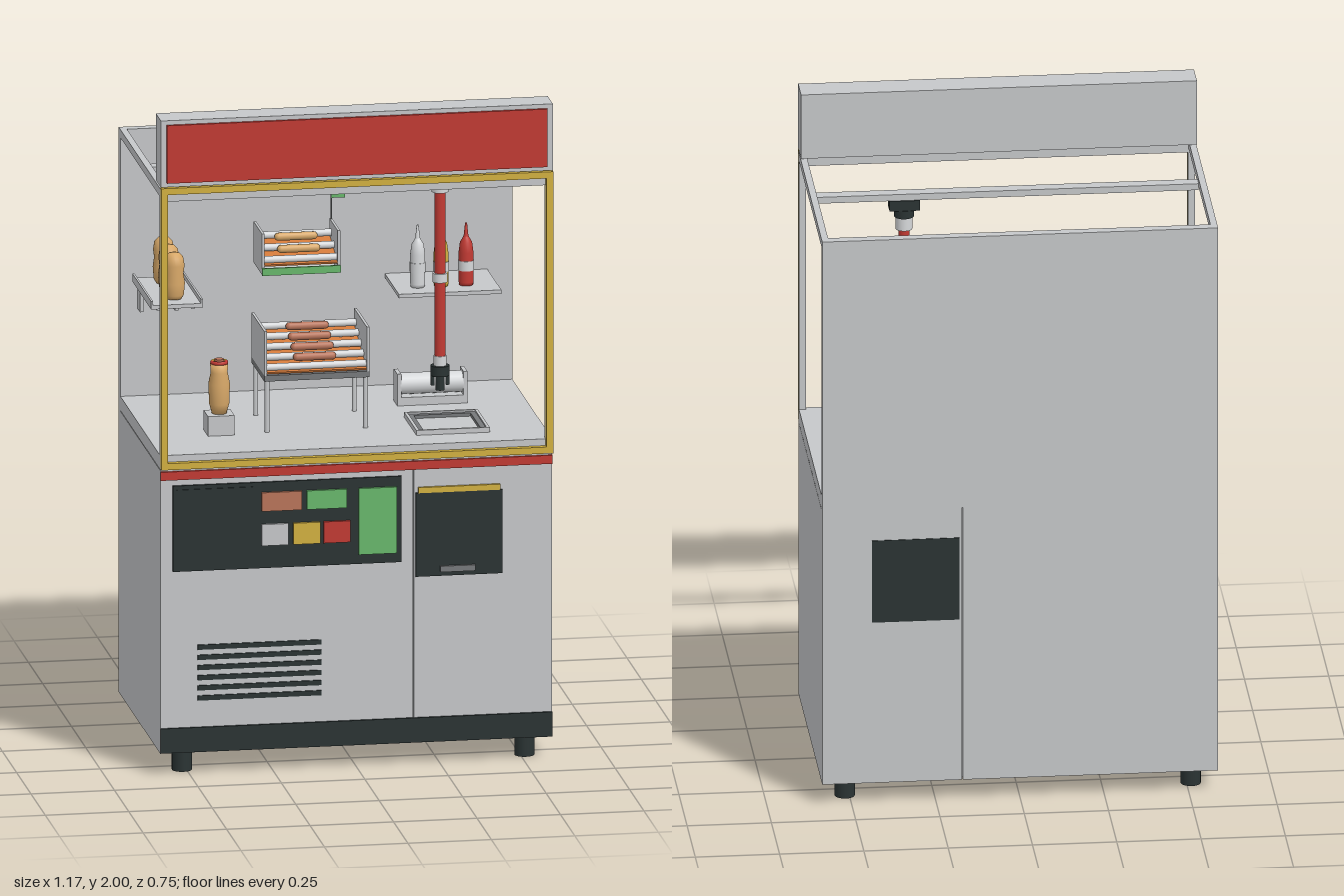
import * as THREE from 'three';

export function createModel() {
  const root = new THREE.Group();
  const colours = {
    casingGrey: 0xc6c8ca, silver: 0xd6d8da, midGrey: 0x77797b, charcoal: 0x2a3333, red: 0xc23a33,
    yellow: 0xd2b040, green: 0x68b86c, sausageBrown: 0xb9745a, bunTan: 0xd8a868, heatOrange: 0xd2793a,
  };
  const M = {};
  for (const [name, color] of Object.entries(colours)) {
    M[name] = new THREE.MeshStandardMaterial({ color });
    M[name].name = name;
  }
  const add = (name, geo, mat, x = 0, y = 0, z = 0, parent = root) => {
    const m = new THREE.Mesh(geo, mat);
    m.name = name;
    m.position.set(x, y, z);
    parent.add(m);
    return m;
  };
  // Box given by its limits on each axis
  const box = (name, mat, x0, x1, y0, y1, z0, z1, parent = root) =>
    add(name, new THREE.BoxGeometry(x1 - x0, y1 - y0, z1 - z0), mat,
      (x0 + x1) / 2, (y0 + y1) / 2, (z0 + z1) / 2, parent);
  // Upright cylinder between two heights
  const post = (name, mat, r, x, y0, y1, z, parent = root) =>
    add(name, new THREE.CylinderGeometry(r, r, y1 - y0, 20), mat, x, (y0 + y1) / 2, z, parent);
  // Cylinder lying along x
  const roller = (name, mat, r, x0, x1, y, z, parent = root) => {
    const m = add(name, new THREE.CylinderGeometry(r, r, x1 - x0, 18), mat, (x0 + x1) / 2, y, z, parent);
    m.rotation.z = Math.PI / 2;
    return m;
  };
  const lathe = (name, mat, pts, x, y, z, parent = root) =>
    add(name, new THREE.LatheGeometry(pts.map(p => new THREE.Vector2(...p)), 24), mat, x, y, z, parent);
  const group = (name) => {
    const g = new THREE.Group();
    g.name = name;
    root.add(g);
    return g;
  };
  const W = 0.587;

  // Lower cabinet in two bays, with feet
  box('mainCabinet', M.casingGrey, -W, 0.17, 0.065, 0.93, -0.375, 0.35);
  box('serviceBay', M.casingGrey, 0.173, W, 0.065, 0.93, -0.375, 0.35);
  box('kickPlate', M.charcoal, -W, W, 0.067, 0.142, 0.35, 0.357);
  box('redTrim', M.red, -W, W, 0.9, 0.926, 0.35, 0.358);
  box('rearHatch', M.charcoal, 0.18, 0.44, 0.575, 0.835, -0.377, -0.37);
  for (const x of [-0.513, 0.513]) for (const z of [-0.3, 0.295])
    post('foot', M.charcoal, 0.03, x, 0, 0.065, z);
  for (let i = 0; i < 6; i++)
    box('vent', M.charcoal, -0.475, -0.105, 0.223 + i * 0.031, 0.238 + i * 0.031, 0.348, 0.354);

  // Control panel
  const panel = group('controlPanel');
  box('panelPlate', M.charcoal, -0.55, 0.135, 0.62, 0.882, 0.348, 0.357, panel);
  box('displayScreen', M.charcoal, -0.54, -0.31, 0.63, 0.87, 0.356, 0.36, panel);
  [['sausageBrown', -0.285, -0.165, 0.795, 0.852], ['green', -0.15, -0.03, 0.795, 0.852],
    ['green', 0.005, 0.12, 0.65, 0.852], ['casingGrey', -0.285, -0.205, 0.69, 0.755],
    ['yellow', -0.19, -0.11, 0.69, 0.755], ['red', -0.1, -0.02, 0.69, 0.755],
  ].forEach(([c, x0, x1, y0, y1]) => box('button', M[c], x0, x1, y0, y1, 0.357, 0.366, panel));

  // Collection door
  box('collectionDoor', M.charcoal, 0.177, 0.437, 0.573, 0.828, 0.35, 0.358);
  box('doorTrim', M.yellow, 0.185, 0.43, 0.828, 0.845, 0.35, 0.359);
  box('doorHandle', M.midGrey, 0.25, 0.355, 0.586, 0.604, 0.358, 0.366);

  // Display case
  box('deck', M.casingGrey, -W, W, 0.932, 0.975, -0.35, 0.35);
  box('backPanel', M.casingGrey, -W, W, 0.93, 1.79, -0.375, -0.345);
  for (const s of [-1, 1]) {
    const a = s < 0 ? -W : W - 0.02, b = a + 0.02;
    box('frontPost', M.casingGrey, a, b, 0.975, 1.79, 0.333, 0.352);
    box('sideRail', M.casingGrey, a, b, 1.765, 1.79, -0.345, 0.333);
    box('frameSide', M.yellow, a, b, 0.935, 1.795, 0.352, 0.37);
  }
  box('frontBeam', M.casingGrey, -0.567, 0.567, 1.75, 1.79, 0.33, 0.352);
  box('frameBottom', M.yellow, -W + 0.02, W - 0.02, 0.935, 0.955, 0.352, 0.37);
  box('frameTop', M.yellow, -W + 0.02, W - 0.02, 1.775, 1.795, 0.352, 0.37);

  // Header sign
  box('signBox', M.casingGrey, -W, W, 1.797, 2, 0.272, 0.362);
  box('signFace', M.red, -0.57, 0.57, 1.81, 1.987, 0.362, 0.371);

  // Overhead rail and picker arm
  box('gantryRail', M.casingGrey, -0.567, 0.567, 1.757, 1.777, 0.012, 0.05);
  const arm = group('pickerArm'), ax = 0.305, az = 0.035;
  box('carriage', M.charcoal, 0.26, 0.35, 1.725, 1.757, 0.008, 0.064, arm);
  post('motor', M.charcoal, 0.03, ax, 1.7, 1.725, az, arm);
  post('motorCap', M.silver, 0.025, ax, 1.66, 1.7, az, arm);
  post('armTube', M.red, 0.016, ax, 1.15, 1.66, az, arm);
  post('collar', M.silver, 0.022, ax, 1.385, 1.412, az, arm);
  post('wrist', M.silver, 0.019, ax, 1.13, 1.16, az, arm);
  post('gripperHub', M.charcoal, 0.028, ax, 1.1, 1.13, az, arm);
  post('gripperTip', M.charcoal, 0.014, ax, 1.055, 1.1, az, arm);
  for (const s of [-1, 1]) post('finger', M.charcoal, 0.006, ax + s * 0.022, 1.07, 1.1, az, arm);

  // Serving chute rim on the deck
  const rim = (name, mat, x0, x1, z0, z1, t, y) => {
    box(name, mat, x0, x0 + t, 0.975, y, z0, z1);
    box(name, mat, x1 - t, x1, 0.975, y, z0, z1);
    box(name, mat, x0 + t, x1 - t, 0.975, y, z0, z0 + t);
    box(name, mat, x0 + t, x1 - t, 0.975, y, z1 - t, z1);
  };
  rim('chuteRim', M.casingGrey, 0.198, 0.418, 0.03, 0.247, 0.009, 0.99);
  rim('chuteLip', M.midGrey, 0.207, 0.409, 0.039, 0.238, 0.016, 0.985);

  // Wrapping drum beneath the bottle shelf
  roller('drum', M.silver, 0.032, 0.21, 0.4, 1.035, -0.128);
  box('drumBase', M.casingGrey, 0.2, 0.41, 0.975, 1.0, -0.16, -0.097);
  for (const x of [0.2, 0.398]) box('drumEnd', M.casingGrey, x, x + 0.012, 1.0, 1.072, -0.16, -0.097);

  // Tilted roller grills: rollers and sausages rise toward the back
  const grill = (name, x0, x1, y0, y1, z0, z1, n, yFront, yBack, food) => {
    const g = group(name), back = z0 + 0.03, step = (z1 - 0.02 - back) / (n - 1);
    for (const x of [x0, x1 - 0.008]) box('endPlate', M.casingGrey, x, x + 0.008, y0, y1, z0, z1, g);
    const tray = box('heatTray', M.heatOrange, x0 + 0.008, x1 - 0.008, -0.003, 0.003,
      0, Math.hypot(z1 - z0, yBack - yFront) - 0.01, g);
    tray.position.set((x0 + x1) / 2, (yFront + yBack) / 2 - 0.016, (z0 + z1) / 2);
    tray.rotation.x = Math.atan2(yBack - yFront, z1 - z0);
    for (let i = 0; i < n; i++) {
      const yAt = t => yBack + (yFront - yBack) * t / (n - 1);
      roller('roller', M.silver, 0.011, x0 + 0.008, x1 - 0.008, yAt(i), back + step * i, g);
      if (i === n - 1) continue;
      const s = add('sausage', new THREE.CapsuleGeometry(0.012, 0.105, 6, 14), food,
        (x0 + x1) / 2, yAt(i + 0.5) + 0.012, back + step * (i + 0.5), g);
      s.rotation.z = Math.PI / 2;
    }
    return g;
  };
  const low = grill('sausageGrill', -0.24, 0.075, 1.15, 1.285, -0.078, 0.145, 5, 1.17, 1.25, M.sausageBrown);
  box('grillBase', M.midGrey, -0.24, 0.075, 1.132, 1.15, -0.078, 0.145, low);
  for (const x of [-0.23, 0.065]) for (const z of [-0.065, 0.132])
    post('grillLeg', M.casingGrey, 0.007, x, 0.975, 1.132, z, low);

  const high = grill('bunWarmer', -0.2, 0.035, 1.39, 1.51, -0.275, -0.13, 3, 1.425, 1.475, M.bunTan);
  box('warmerBase', M.casingGrey, -0.2, 0.035, 1.385, 1.392, -0.275, -0.13, high);
  box('warmerTrim', M.green, -0.2, 0.035, 1.383, 1.405, -0.13, -0.123, high);
  for (const x of [-0.15, 0.005]) box('warmerArm', M.casingGrey, x - 0.005, x + 0.005, 1.385, 1.41, -0.345, -0.275, high);
  post('flagPole', M.midGrey, 0.002, 0.031, 1.39, 1.605, -0.265, high);
  box('flag', M.green, 0.031, 0.071, 1.575, 1.605, -0.267, -0.263, high);

  // Bun shelf and standing buns
  box('bunShelf', M.casingGrey, -0.555, -0.4, 1.33, 1.342, -0.32, 0.005);
  for (const x of [-0.555, -0.406]) box('shelfLip', M.casingGrey, x, x + 0.006, 1.342, 1.355, -0.32, 0.005);
  for (const x of [-0.53, -0.425]) {
    box('shelfBracket', M.casingGrey, x - 0.005, x + 0.005, 1.24, 1.33, -0.345, -0.305);
    box('shelfArm', M.casingGrey, x - 0.005, x + 0.005, 1.32, 1.33, -0.345, -0.02);
  }
  const bun = [[0, 0], [0.022, 0.002], [0.029, 0.015], [0.032, 0.05], [0.028, 0.08],
    [0.031, 0.105], [0.027, 0.128], [0.016, 0.14], [0, 0.143]];
  for (const z of [-0.245, -0.153, -0.06]) lathe('bun', M.bunTan, bun, -0.475, 1.342, z);

  // Finished serving on its stand
  const meal = group('serving');
  box('servingStand', M.casingGrey, -0.41, -0.33, 0.975, 1.035, 0.075, 0.153, meal);
  lathe('servingBun', M.bunTan, [[0, 0], [0.022, 0], [0.03, 0.03], [0.032, 0.09], [0.025, 0.125], [0.027, 0.15], [0, 0.15]],
    -0.37, 1.035, 0.114, meal);
  post('servingSausage', M.sausageBrown, 0.014, -0.37, 1.18, 1.2, 0.114, meal);
  [M.red, M.yellow].forEach((mat, i) => {
    const sauce = add('sauce', new THREE.TorusGeometry(0.021, 0.006, 8, 16, Math.PI), mat, -0.37, 1.19, 0.114, meal);
    sauce.rotation.set(Math.PI / 2, 0, i * Math.PI);
  });

  // Sauce shelf and bottles
  box('sauceShelf', M.casingGrey, 0.205, 0.512, 1.303, 1.315, -0.345, -0.1);
  [[0.275, M.silver], [0.345, M.yellow], [0.42, M.red]].forEach(([x, mat]) => {
    lathe('sauceBottle', mat, [[0, 0], [0.021, 0], [0.022, 0.01], [0.022, 0.1], [0.018, 0.13],
      [0.009, 0.145], [0.007, 0.15], [0.003, 0.188], [0, 0.188]], x, 1.315, -0.18);
    post('bottleBand', M.silver, 0.0235, x, 1.36, 1.39, -0.18);
    box('bottleHolder', M.midGrey, x - 0.003, x + 0.003, 1.385, 1.391, -0.25, -0.2);
  });

  return root;
}
